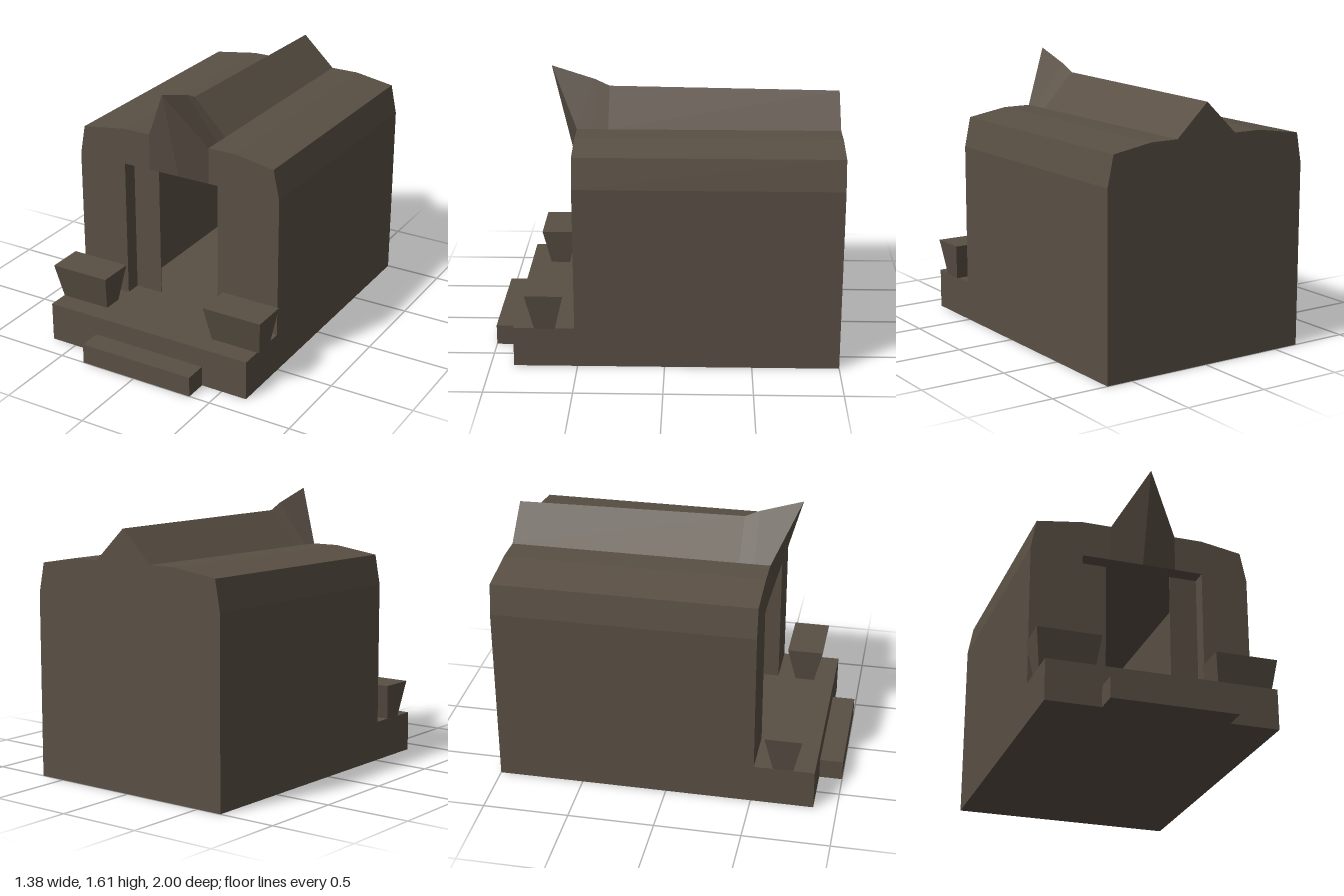
import * as THREE from 'three';

export function createModel() {
  const group = new THREE.Group();
  const stone = new THREE.MeshStandardMaterial({ color: 0x594f44 });
  stone.name = 'brown stone';

  const add = (name, geometry) => {
    const mesh = new THREE.Mesh(geometry, stone);
    mesh.name = name;
    group.add(mesh);
    return mesh;
  };
  // box given by its limits on each axis
  const box = (name, x0, x1, y0, y1, z0, z1) => add(name,
    new THREE.BoxGeometry(x1 - x0, y1 - y0, z1 - z0)
      .translate((x0 + x1) / 2, (y0 + y1) / 2, (z0 + z1) / 2));
  const extrude = (name, points, z0, z1) => add(name,
    new THREE.ExtrudeGeometry(new THREE.Shape(points.map(p => new THREE.Vector2(...p))),
      { depth: z1 - z0, bevelEnabled: false }).translate(0, 0, z0));

  const floor = 0.235, lintel = 1.07, eave = 1.285;
  const front = 0.515, back = -1, half = 0.657;
  const roomL = -0.35, roomR = 0.375, doorL = -0.18, doorR = 0.21;

  // platform and entrance step
  box('platform', -half, half, 0, floor, back, 0.865);
  box('step', -0.345, 0.372, 0, 0.12, 0.865, 1);

  // hall shell: outer outline, then with the room cut through it
  const outline = [
    [half, floor], [half, lintel], [0.62, 1.245], [0.38, eave],
    [-0.35, eave], [-0.625, 1.245], [-half, lintel], [-half, floor],
  ];
  const room = [[roomL, floor], [roomL, lintel], [roomR, lintel], [roomR, floor]];
  extrude('hall', [...outline, ...room], back + 0.01, front);
  extrude('backWall', outline, back, back + 0.01);

  // recessed panels on both sides of the doorway
  box('rightDoorPanel', roomL, doorL, floor, lintel, 0.415, 0.42);
  box('leftDoorPanel', doorR, roomR, floor, lintel, 0.415, 0.42);

  // ridge: sections of [base z, peak z, peak y], ending in a raised prow
  const sections = [[back, back, 1.47], [0.335, 0.335, 1.49], [0.42, 0.42, 1.53], [front, 0.67, 1.61]];
  const mid = 0.013;
  const V = (x, y, z) => new THREE.Vector3(x, y, z);
  const positions = [], normals = [];
  const quad = (a, b, c, d) => {
    const n = c.clone().sub(a).cross(d.clone().sub(b)).normalize();
    for (const p of [a, b, c, a, c, d]) {
      positions.push(p.x, p.y, p.z);
      normals.push(n.x, n.y, n.z);
    }
  };
  const rows = sections.map(([zb, zp, yp]) => ({
    l: V(doorL, eave, zb), r: V(doorR, eave, zb), p: V(mid, yp, zp),
  }));
  for (let i = 0; i < rows.length - 1; i++) {
    const s = rows[i], t = rows[i + 1];
    quad(s.l, t.l, t.p, s.p);
    quad(t.r, s.r, s.p, t.p);
  }
  const tail = rows[0], tip = rows[rows.length - 1];
  quad(tail.r, tail.l, tail.p, tail.p);
  // prow faces leaning out above the doorway
  const keel = V(mid, lintel, front);
  quad(V(doorL, lintel, front), keel, tip.p, tip.l);
  // start at the lower outer corner so both halves mirror
  quad(V(doorR, lintel, front), tip.r, tip.p, keel);
  const ridge = new THREE.BufferGeometry();
  ridge.setAttribute('position', new THREE.Float32BufferAttribute(positions, 3));
  ridge.setAttribute('normal', new THREE.Float32BufferAttribute(normals, 3));
  add('roofRidge', ridge);

  // flared pedestals: boxes narrowed at the bottom
  const pedestal = (name, x) => {
    const g = new THREE.BoxGeometry(0.364, 0.213, 0.216);
    const p = g.attributes.position;
    for (let i = 0; i < p.count; i++) {
      if (p.getY(i) < 0) {
        p.setX(i, p.getX(i) * 0.84);
        p.setZ(i, p.getZ(i) * 0.54);
      }
    }
    g.computeVertexNormals();
    add(name, g).position.set(x, floor + 0.1065, 0.683);
  };
  pedestal('rightPedestal', -0.503);
  pedestal('leftPedestal', 0.517);

  return group;
}
